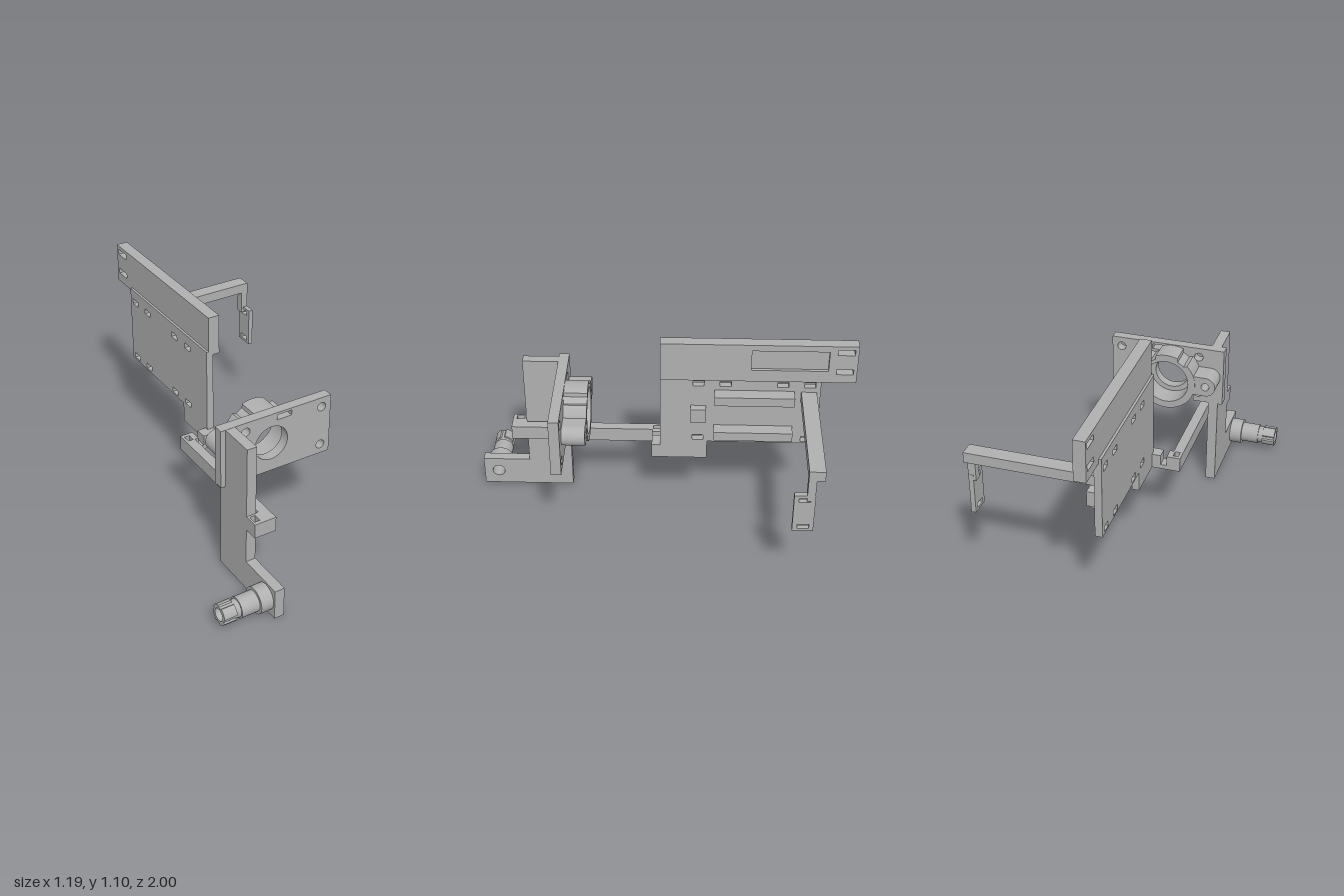
import * as THREE from 'three';

const metal = new THREE.MeshStandardMaterial({ color: 0xb0b0b0 });
metal.name = 'plain grey';

export function createModel() {
  const model = new THREE.Group();

  const add = (name, geo) => {
    const mesh = new THREE.Mesh(geo, metal);
    mesh.name = name;
    model.add(mesh);
    return mesh;
  };
  // Box given by its limits on each axis
  const box = (name, x0, x1, y0, y1, z0, z1) => {
    const g = new THREE.BoxGeometry(x1 - x0, y1 - y0, z1 - z0);
    g.translate((x0 + x1) / 2, (y0 + y1) / 2, (z0 + z1) / 2);
    return add(name, g);
  };
  const poly = (pts) => new THREE.Shape(pts.map(([x, y]) => new THREE.Vector2(x, y)));
  const rect = (x0, x1, y0, y1) => poly([[x0, y0], [x1, y0], [x1, y1], [x0, y1]]);
  const circle = (x, y, r) => new THREE.Path().absarc(x, y, r, 0, Math.PI * 2, true);
  const withHoles = (shape, holes) => {
    shape.holes.push(...holes);
    return shape;
  };
  const extrudeZ = (name, shape, z0, z1) => {
    const g = new THREE.ExtrudeGeometry(shape, { depth: z1 - z0, bevelEnabled: false, curveSegments: 32 });
    g.translate(0, 0, z0);
    return add(name, g);
  };
  // Profile drawn in (-z, y), extruded along x
  const extrudeX = (name, shape, x0, x1) => {
    const g = new THREE.ExtrudeGeometry(shape, { depth: x1 - x0, bevelEnabled: false, curveSegments: 32 });
    g.rotateY(Math.PI / 2);
    g.translate(x0, 0, 0);
    return add(name, g);
  };
  // Profile drawn in (x, -z), extruded upwards
  const extrudeY = (name, shape, y0, y1) => {
    const g = new THREE.ExtrudeGeometry(shape, { depth: y1 - y0, bevelEnabled: false });
    g.rotateX(-Math.PI / 2);
    g.translate(0, y0, 0);
    return add(name, g);
  };

  // L-shaped side bracket with connector hole
  extrudeX('sideBracket', withHoles(
    poly([[-1, 0], [-0.5, 0], [-0.5, 0.827], [-0.74, 0.827], [-0.74, 0.167], [-1, 0.167]]),
    [circle(-0.92, 0.085, 0.034)]), -0.333, -0.28);

  // Front plate: keyhole opening, four screw holes and a top slot
  const cx = -0.072, cy = 0.663;
  const plate = new THREE.Shape();
  plate.moveTo(-0.36, 0.5);
  plate.lineTo(-0.193, 0.5);
  plate.lineTo(-0.193, 0.68);
  plate.absarc(cx, cy, 0.094, 2.96, -2.782, true);
  plate.lineTo(-0.16, 0.5);
  plate.lineTo(0.273, 0.5);
  plate.lineTo(0.273, 0.828);
  plate.lineTo(-0.36, 0.828);
  const screws = [];
  for (const x of [-0.22, 0.22]) for (const y of [0.553, 0.775]) screws.push(circle(x, y, 0.024));
  extrudeZ('frontPlate', withHoles(plate, [...screws, rect(-0.042, 0.042, 0.787, 0.815)]), 0.494, 0.548);

  // Ring housing behind the plate, notched on its upper rim
  const ringPts = [];
  for (let i = 0; i < 90; i++) {
    const deg = i * 4, a = deg * Math.PI / 180;
    const notch = (deg > 46 && deg < 68) || (deg > 112 && deg < 134);
    const r = notch ? 0.142 : 0.161;
    ringPts.push([cx + r * Math.cos(a), cy + r * Math.sin(a)]);
  }
  extrudeZ('ringHousing', withHoles(poly(ringPts), [circle(cx, cy, 0.122)]), 0.372, 0.496);

  // Screw ears on either side of the ring
  for (const s of [-1, 1]) {
    const ear = new THREE.Shape();
    const ex = cx + s * 0.217;
    ear.moveTo(cx + s * 0.128, cy - s * 0.055);
    ear.lineTo(ex, cy - s * 0.055);
    ear.absarc(ex, cy, 0.055, s > 0 ? -Math.PI / 2 : Math.PI / 2, s > 0 ? Math.PI / 2 : Math.PI * 1.5, false);
    ear.lineTo(cx + s * 0.128, cy + s * 0.055);
    extrudeZ('ringEar', withHoles(ear, [circle(ex, cy, 0.022)]), 0.374, 0.496);
  }

  // Long linking arm with pierced pads at both ends
  extrudeY('linkArm', withHoles(
    poly([[-0.333, -0.815], [-0.213, -0.815], [-0.213, -0.045], [-0.193, -0.045], [-0.193, 0.02],
      [-0.265, 0.02], [-0.265, -0.735], [-0.333, -0.735]]),
    [rect(-0.322, -0.292, -0.795, -0.752), rect(-0.25, -0.222, -0.04, 0)]), 0.362, 0.442);
  box('linkBridge', -0.193, -0.16, 0.362, 0.387, -0.02, 0.045);
  box('linkFoot', -0.16, -0.075, 0.362, 0.442, -0.02, 0.045);

  // Slotted wall
  const slots = [];
  for (const u of [0.17, 0.31, 0.606, 0.745]) {
    for (const y of [0.483, 0.827]) slots.push(rect(u, u + 0.058, y, y + 0.031));
  }
  extrudeX('slottedWall', withHoles(
    poly([[0, 0.362], [0.25, 0.362], [0.25, 0.472], [0.83, 0.472], [0.83, 0.91], [0, 0.91]]),
    slots), -0.113, -0.075);

  // Upper panel, built as a back layer and a face layer with a pocket
  const panelSlots = () => [rect(0.895, 0.982, 0.937, 0.967), rect(0.895, 0.982, 1.052, 1.083)];
  const panel = () => rect(0, 1, 0.887, 1.104);
  extrudeX('panelBack', withHoles(panel(), panelSlots()), -0.1, -0.055);
  extrudeX('panelFace', withHoles(panel(), [...panelSlots(), rect(0.465, 0.855, 0.955, 1.07)]), -0.055, -0.038);

  // Ribs and blocks on the wall
  for (const y of [0.53, 0.752]) box('wallRib', -0.076, -0.005, y, y + 0.052, -0.695, -0.283);
  box('wallBlock', -0.076, -0.032, 0.622, 0.705, -0.24, -0.16);
  box('rearBlock', -0.076, -0.032, 0.63, 0.71, -0.818, -0.752);

  // Outrigger arm with hanging slotted tab
  box('outriggerArm', -0.076, 0.59, 0.745, 0.8, -0.81, -0.73);
  box('outriggerDrop', 0.55, 0.59, 0.62, 0.746, -0.77, -0.73);
  extrudeX('outriggerTab', withHoles(rect(0.668, 0.772, 0.432, 0.652),
    [rect(0.692, 0.75, 0.446, 0.471), rect(0.692, 0.75, 0.611, 0.637)]), 0.563, 0.588);

  // Hollow round connector: pairs of (radius, distance from bracket)
  const addTube = (name, pts) => {
    const geos = new THREE.Group();
    geos.name = name;
    for (let i = 0; i < pts.length - 1; i++) {
      const seg = new THREE.LatheGeometry(
        [pts[i], pts[i + 1]].map(([r, d]) => new THREE.Vector2(r, d)), 40);
      const mesh = new THREE.Mesh(seg, metal);
      mesh.name = name + 'Face';
      geos.add(mesh);
    }
    geos.rotation.z = Math.PI / 2;
    geos.position.set(-0.333, 0.085, 0.92);
    model.add(geos);
  };
  addTube('connectorBody', [[0.034, 0], [0.07, 0], [0.07, 0.067], [0.055, 0.067], [0.055, 0.165],
    [0.047, 0.165], [0.047, 0.195], [0.034, 0.195], [0.034, 0]]);

  // Notched end collar of the connector
  const collar = [];
  for (let i = 0; i < 60; i++) {
    const a = i * Math.PI / 30;
    const r = i % 15 < 4 ? 0.047 : 0.055;
    collar.push([-0.92 + r * Math.cos(a), 0.085 + r * Math.sin(a)]);
  }
  extrudeX('connectorCollar', withHoles(poly(collar), [circle(-0.92, 0.085, 0.034)]), -0.596, -0.525);

  return model;
}
